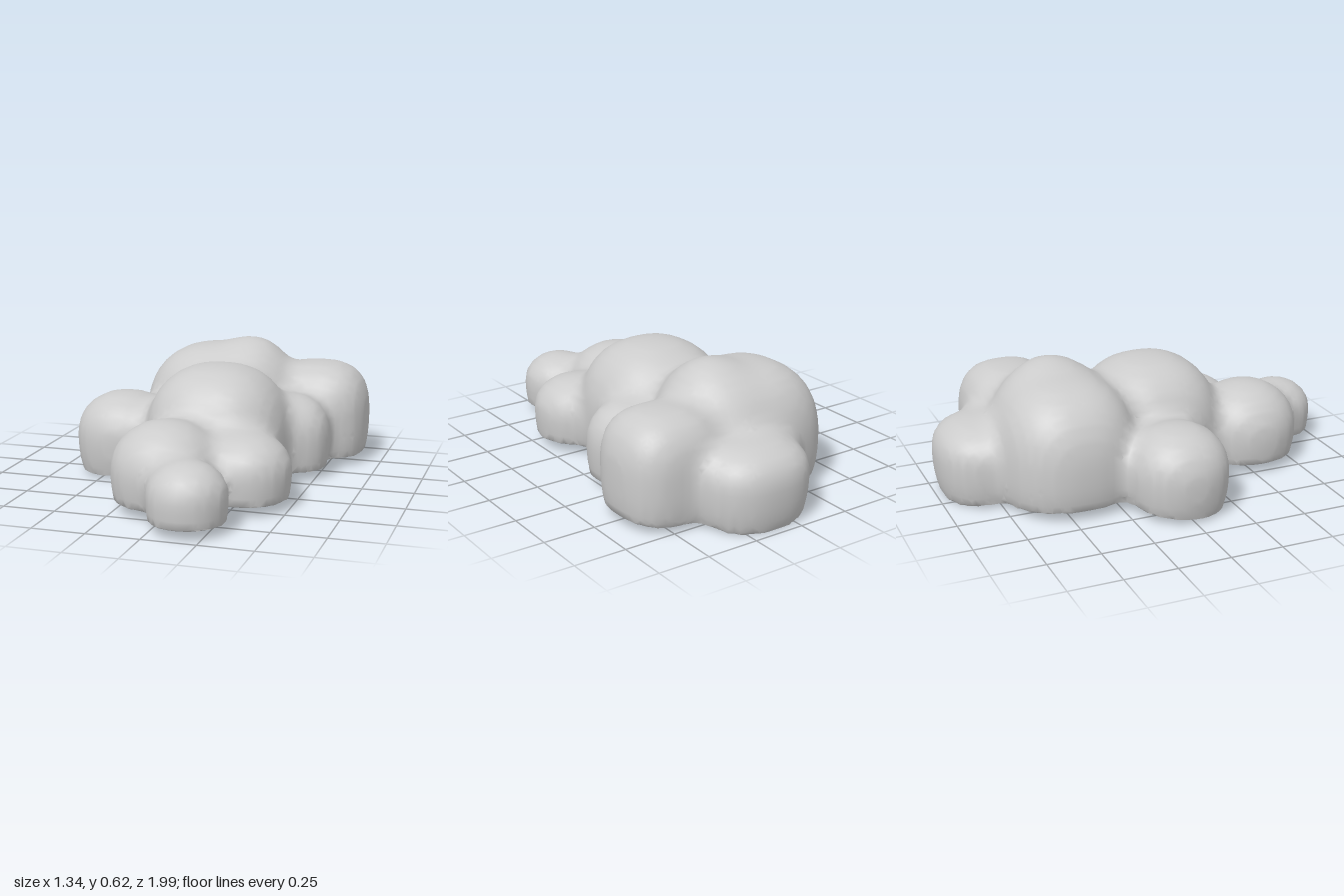
import * as THREE from 'three';
import { toCreasedNormals } from 'three/addons/utils/BufferGeometryUtils.js';

// Puffs of the cloud: centre x, y, z, radius x, y (upwards), z, squareness (2 = round)
const PUFFS = [
  [0.11, 0.20, -0.74, 0.27, 0.17, 0.255, 2.4], // back
  [-0.07, 0.20, -0.43, 0.375, 0.385, 0.33, 2.5], // crown
  [0.09, 0.22, -0.43, 0.26, 0.40, 0.27, 2], // crown peak
  [0.42, 0.23, -0.53, 0.25, 0.27, 0.24, 2.7], // back left
  [0.36, 0.20, -0.17, 0.19, 0.20, 0.18, 2.2], // left side
  [0.06, 0.20, 0.06, 0.34, 0.375, 0.34, 2.4], // middle
  [-0.43, 0.19, 0.0, 0.24, 0.21, 0.235, 2.2], // right side
  [-0.04, 0.18, 0.54, 0.25, 0.225, 0.255, 2.1], // front right
  [0.29, 0.17, 0.40, 0.21, 0.17, 0.215, 2.1], // front left
  [0.15, 0.16, 0.82, 0.18, 0.15, 0.18, 2], // front tip
];
const LOW = 0.36; // downward radius: keeps the sides steep near the base
const BLEND = 0.08; // softness of the valleys between puffs
const STEP = 0.035;
const MIN = [-0.77, -0.42, -1.1];
const COUNT = [45, 34, 64];

// Flat underside that dips at the back and under the right side puff
const floorAt = (x, z) => 0.047
  - 0.046 * THREE.MathUtils.smoothstep(-z, 0.6, 0.95)
  - 0.03 * THREE.MathUtils.smoothstep(-x, 0.25, 0.5) * THREE.MathUtils.smoothstep(z, -0.3, 0.1);

// Distance to all the puffs, melted together; negative inside
function field(x, y, z) {
  let d = 1e3;
  for (const [cx, cy, cz, rx, ry, rz, p] of PUFFS) {
    const radii = [rx, y < cy ? LOW : ry, rz];
    const q = [x - cx, y - cy, z - cz].map((v, m) => Math.abs(v) / radii[m]);
    const k = Math.max((q[0] ** p + q[1] ** p + q[2] ** p) ** (1 / p), 1e-4);
    const slope = Math.hypot(...q.map((v, m) => (v / k) ** (p - 1) / radii[m]));
    const e = (k - 1) / slope;
    const t = Math.max(BLEND - Math.abs(d - e), 0) / BLEND;
    d = Math.min(d, e) - t * t * BLEND * 0.25;
  }
  return d;
}

// Skin the field: one vertex per crossed cell, one quad per crossed edge
function skin() {
  const [nx, ny, nz] = COUNT;
  const stride = [1, nx, nx * ny];
  const at = (i, j, k) => i + j * nx + k * nx * ny;
  const values = new Float32Array(nx * ny * nz);
  for (let k = 0; k < nz; k++)
    for (let j = 0; j < ny; j++)
      for (let i = 0; i < nx; i++)
        values[at(i, j, k)] = field(MIN[0] + i * STEP, MIN[1] + j * STEP, MIN[2] + k * STEP);

  const positions = [], indices = [];
  const cellVertex = new Int32Array(values.length).fill(-1);
  for (let k = 0; k < nz - 1; k++)
    for (let j = 0; j < ny - 1; j++)
      for (let i = 0; i < nx - 1; i++) {
        const sum = [0, 0, 0];
        let hits = 0;
        for (let c = 0; c < 8; c++)
          for (let a = 0; a < 3; a++) {
            if (c & (1 << a)) continue;
            const p = [c & 1, (c >> 1) & 1, c >> 2];
            const n = at(i + p[0], j + p[1], k + p[2]);
            const u = values[n], v = values[n + stride[a]];
            if (u < 0 === v < 0) continue;
            p[a] += u / (u - v);
            p.forEach((q, m) => (sum[m] += q));
            hits++;
          }
        if (!hits) continue;
        cellVertex[at(i, j, k)] = positions.length / 3;
        const [x, y, z] = [i, j, k].map((q, m) => MIN[m] + (q + sum[m] / hits) * STEP);
        positions.push(x, Math.max(y, floorAt(x, z)), z); // press the base flat
      }

  for (let k = 1; k < nz - 1; k++)
    for (let j = 1; j < ny - 1; j++)
      for (let i = 1; i < nx - 1; i++)
        for (let a = 0; a < 3; a++) {
          const n = at(i, j, k);
          const inside = values[n] < 0;
          if (inside === values[n + stride[a]] < 0) continue;
          const b = stride[(a + 1) % 3], c = stride[(a + 2) % 3];
          const quad = [n - b - c, n - c, n, n - b].map((m) => cellVertex[m]);
          if (!inside) quad.reverse();
          const [p, q, r, s] = quad;
          indices.push(p, q, r, p, r, s);
        }

  const geometry = new THREE.BufferGeometry();
  geometry.setAttribute('position', new THREE.Float32BufferAttribute(positions, 3));
  geometry.setIndex(indices);
  return toCreasedNormals(geometry, 0.9);
}

export function createModel() {
  const group = new THREE.Group();
  group.name = 'cloud';
  const body = new THREE.Mesh(skin(), new THREE.MeshStandardMaterial({ color: 0xcccccc }));
  body.name = 'cloudBody';
  group.add(body);
  return group;
}
